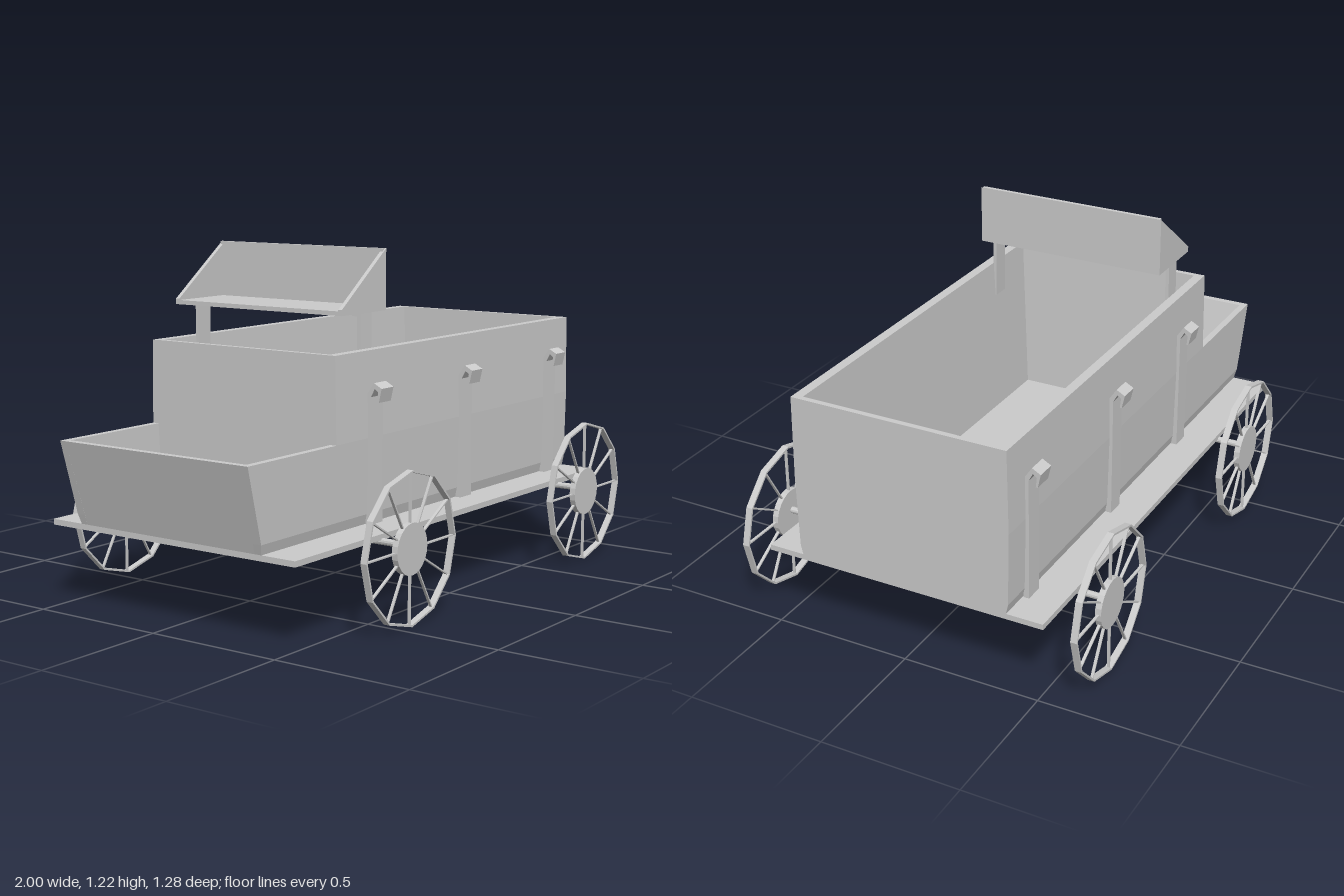
import * as THREE from 'three';

const grey = new THREE.MeshStandardMaterial({ color: 0xcccccc, flatShading: true });

function add(parent, name, geometry) {
  const mesh = new THREE.Mesh(geometry, grey);
  mesh.name = name;
  parent.add(mesh);
  return mesh;
}

// Tapered board: bottom and top are [x0, x1, z0, z1] rectangles at y0 and y1
function board(parent, name, y0, y1, bottom, top = bottom) {
  const g = new THREE.BoxGeometry(1, 1, 1);
  const p = g.attributes.position;
  for (let i = 0; i < p.count; i++) {
    const r = p.getY(i) > 0 ? top : bottom;
    p.setXYZ(i, r[p.getX(i) > 0 ? 1 : 0], p.getY(i) > 0 ? y1 : y0, r[p.getZ(i) > 0 ? 3 : 2]);
  }
  g.computeVertexNormals();
  return add(parent, name, g);
}

// Same board on both long sides of the wagon
function boardPair(parent, name, y0, y1, bottom, top = bottom) {
  const flip = ([x0, x1, z0, z1]) => [x0, x1, -z1, -z0];
  board(parent, name + 'Left', y0, y1, bottom, top);
  board(parent, name + 'Right', y0, y1, flip(bottom), flip(top));
}

function extrude(points, depth, hole) {
  const shape = new THREE.Shape(points.map(([x, y]) => new THREE.Vector2(x, y)));
  if (hole) shape.holes.push(new THREE.Path(hole.map(([x, y]) => new THREE.Vector2(x, y))));
  return new THREE.ExtrudeGeometry(shape, { depth, bevelEnabled: false });
}

const ring = (r, n) => Array.from({ length: n }, (_, i) => {
  const a = (i / n) * Math.PI * 2;
  return [r * Math.cos(a), r * Math.sin(a)];
});

function makeWheel() {
  const wheel = new THREE.Group();
  wheel.name = 'wheel';
  const R = 0.262, width = 0.024;
  add(wheel, 'rim', extrude(ring(R, 12), width, ring(R - 0.007, 12))).position.z = -width / 2;
  add(wheel, 'hub', new THREE.CylinderGeometry(0.088, 0.088, 0.022, 24).rotateX(Math.PI / 2));
  for (let i = 0; i < 12; i++) {
    const spoke = new THREE.BoxGeometry(0.18, 0.005, 0.01);
    spoke.translate(0.168, 0, 0).rotateZ((i * Math.PI) / 6);
    add(wheel, 'spoke', spoke);
  }
  return wheel;
}

export function createModel() {
  const wagon = new THREE.Group();
  wagon.name = 'wagon';

  // Bed and floor
  board(wagon, 'bed', 0.28, 0.30, [-0.92, 1, -0.52, 0.52]);
  board(wagon, 'floor', 0.30, 0.31, [-0.915, 0.99, -0.37, 0.37]);

  // Low hull with raked nose
  boardPair(wagon, 'skirt', 0.30, 0.335, [-0.92, 1, 0.36, 0.387], [-0.93, 1, 0.362, 0.395]);
  boardPair(wagon, 'hullSide', 0.335, 0.595, [-0.93, 1, 0.362, 0.395], [-1, 1, 0.375, 0.40]);
  board(wagon, 'nose', 0.30, 0.595, [-0.92, -0.895, -0.385, 0.385], [-1, -0.975, -0.40, 0.40]);

  // Tall cargo box
  boardPair(wagon, 'boxLiner', 0.30, 0.595, [-0.54, 1, 0.33, 0.365], [-0.54, 1, 0.345, 0.38]);
  boardPair(wagon, 'boxSide', 0.595, 0.89, [-0.54, 1, 0.345, 0.40], [-0.54, 1, 0.36, 0.395]);
  board(wagon, 'boxFrontWall', 0.30, 0.89, [-0.54, -0.50, -0.36, 0.36], [-0.54, -0.52, -0.394, 0.394]);
  board(wagon, 'boxRearWall', 0.30, 0.89, [0.97, 1, -0.386, 0.386], [0.98, 1, -0.394, 0.394]);

  // Seat: base, back, triangular ends and legs
  const seat = new THREE.Group();
  seat.name = 'seat';
  wagon.add(seat);
  board(seat, 'seatBase', 1.01, 1.025, [-0.455, -0.2, -0.355, 0.355]);
  board(seat, 'seatBack', 1.01, 1.22, [-0.215, -0.2, -0.355, 0.355]);
  for (const z of [0.345, -0.36]) {
    const end = extrude([[-0.455, 1.01], [-0.2, 1.01], [-0.2, 1.22], [-0.455, 1.03]], 0.015);
    add(seat, 'seatEnd', end).position.z = z;
  }
  boardPair(seat, 'seatLeg', 0.76, 1.01, [-0.35, -0.285, 0.349, 0.361], [-0.35, -0.285, 0.346, 0.36]);
  boardPair(seat, 'seatLegFlange', 1.0, 1.012, [-0.35, -0.285, 0.325, 0.35]);

  // Hooked side straps, profile in (z, y)
  const hook = [[0.39, 0.30], [0.411, 0.30], [0.411, 0.735], [0.426, 0.763], [0.44, 0.753],
    [0.436, 0.718], [0.443, 0.718], [0.454, 0.766], [0.423, 0.783], [0.39, 0.735]];
  for (const x of [-0.325, 0.242, 0.853]) {
    for (const s of [1, -1]) {
      const strap = add(wagon, 'strap', extrude(hook, 0.07).translate(0, 0, -0.035));
      strap.rotation.y = (-s * Math.PI) / 2;
      strap.position.x = x;
    }
  }

  // Axles and wheels
  for (const x of [-0.445, 0.737]) {
    const axle = new THREE.CylinderGeometry(0.012, 0.012, 1.24, 12).rotateX(Math.PI / 2);
    add(wagon, 'axle', axle).position.set(x, 0.274, 0);
    for (const s of [1, -1]) {
      const wheel = makeWheel();
      wheel.position.set(x, 0.264, s * 0.627);
      wagon.add(wheel);
    }
  }
  return wagon;
}
